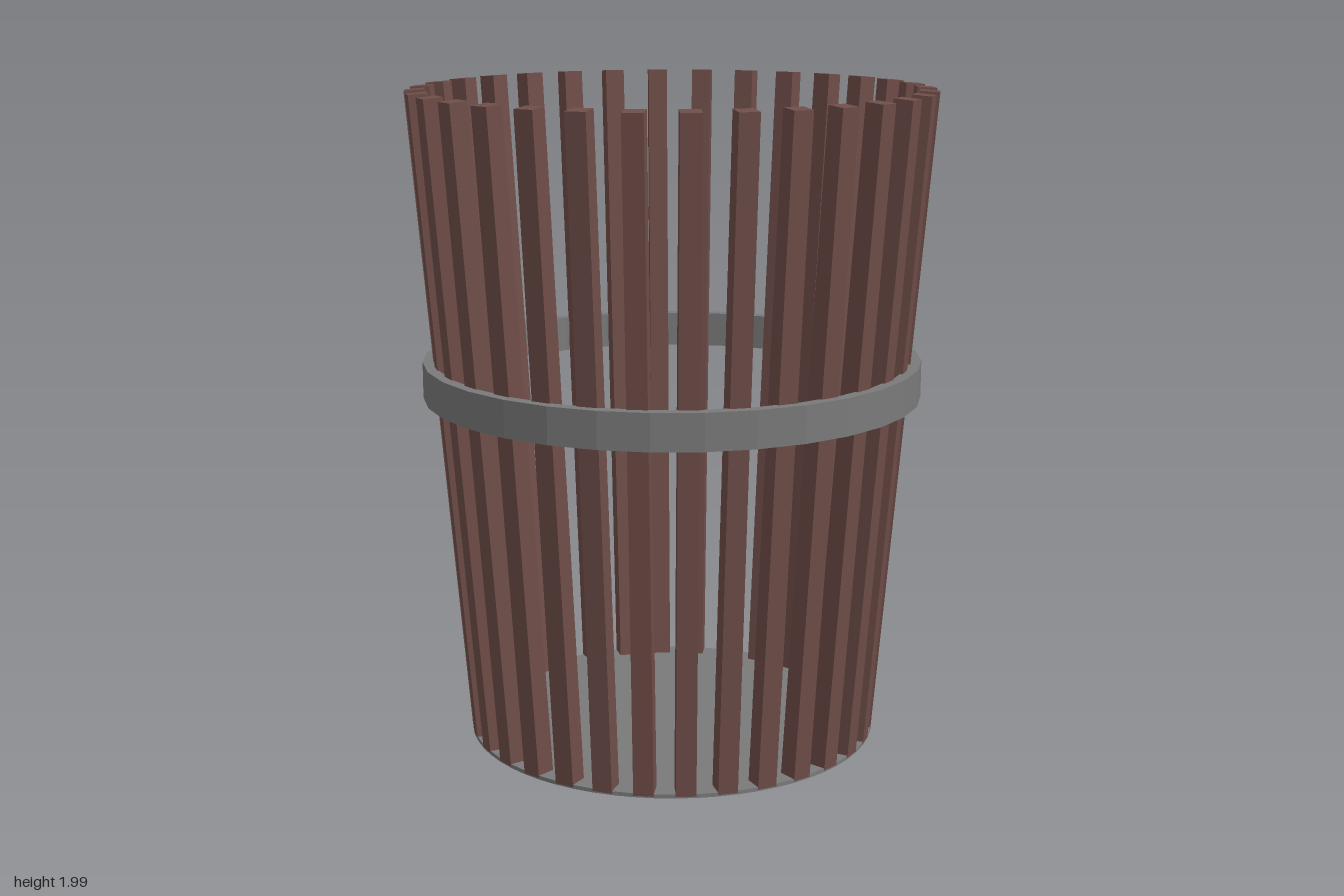
import * as THREE from 'three';

const SLATS = 32;
const SIZE = 0.06;                 // square section of each slat
const BASE_R = 0.6, TOP_R = 0.76;  // slat centre radius at the foot and the tip
const HEIGHT = 1.98;

export function createModel() {
  const group = new THREE.Group();
  const wood = new THREE.MeshStandardMaterial({ color: 0x704e49 });
  const metal = new THREE.MeshStandardMaterial({ color: 0x7a7a7a, flatShading: true });

  // Floor disc
  const floor = new THREE.Mesh(new THREE.CylinderGeometry(0.63, 0.63, 0.012, 64), metal);
  floor.name = 'floor';
  floor.position.y = 0.006;
  group.add(floor);

  // Ring of slats leaning outward
  const lean = Math.atan2(TOP_R - BASE_R, HEIGHT);
  const slatGeometry = new THREE.BoxGeometry(SIZE, HEIGHT / Math.cos(lean), SIZE);
  slatGeometry.rotateX(lean);
  slatGeometry.translate(0, 0.007 + HEIGHT / 2, (BASE_R + TOP_R) / 2);
  const slats = new THREE.Group();
  slats.name = 'slats';
  for (let i = 0; i < SLATS; i++) {
    const slat = new THREE.Mesh(slatGeometry, wood);
    slat.name = 'slat';
    slat.rotation.y = (i / SLATS) * Math.PI * 2 - 0.053;
    slats.add(slat);
  }
  group.add(slats);

  // Hoop around the slats: closed rectangular profile
  const hoopProfile = [[0.72, 1.065], [0.757, 1.065], [0.757, 1.175], [0.72, 1.175], [0.72, 1.065]]
    .map(([r, y]) => new THREE.Vector2(r, y));
  const hoop = new THREE.Mesh(new THREE.LatheGeometry(hoopProfile, 32), metal);
  hoop.name = 'hoop';
  group.add(hoop);

  return group;
}
